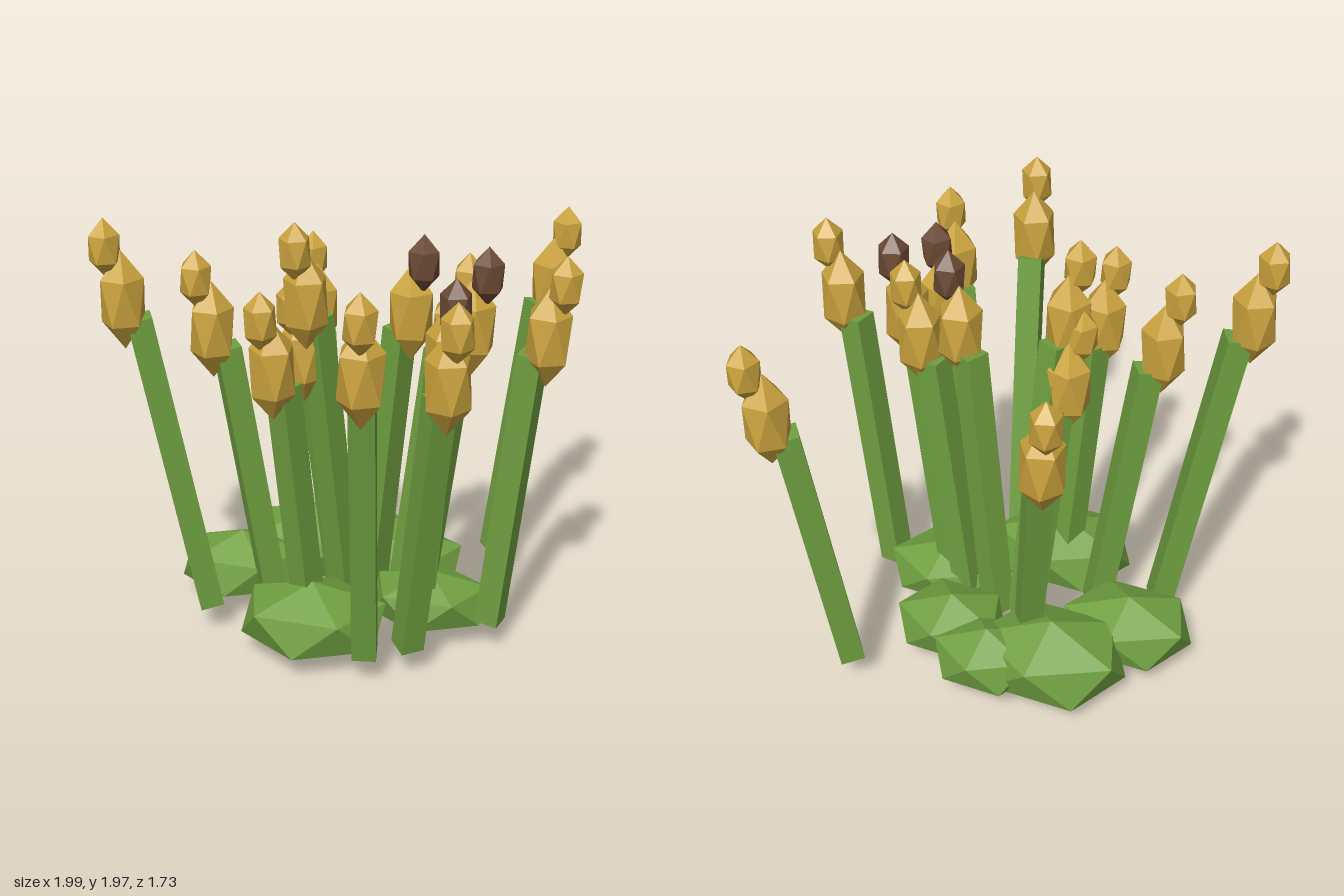
import * as THREE from 'three';

const leafGreen = new THREE.MeshStandardMaterial({ color: 0x6f9f40 });
const seedGold = new THREE.MeshStandardMaterial({ color: 0xcca43e });
const tipBrown = new THREE.MeshStandardMaterial({ color: 0x6b4a35 });

// Icosahedron standing on a vertex, shared by mounds and seed heads
const gem = new THREE.IcosahedronGeometry(1, 0);
gem.rotateZ(Math.atan2(2, 1 + Math.sqrt(5)));
gem.rotateY(Math.PI);

function addGem(parent, name, material, position, scale, yaw = 0) {
  const geometry = gem.clone().rotateY(yaw).scale(...scale);
  const mesh = new THREE.Mesh(geometry, material);
  mesh.name = name;
  mesh.position.set(...position);
  parent.add(mesh);
}

// Leafy mounds: centre x, y, z, then half width, half height, half depth
const mounds = [
  [-0.067, 0.21, 0.227, 0.315, 0.18, 0.228],
  [-0.478, 0.207, -0.22, 0.283, 0.167, 0.206],
  [-0.195, 0.207, -0.49, 0.325, 0.197, 0.242],
  [0.075, 0.205, -0.56, 0.225, 0.15, 0.182],
  [0.285, 0.205, -0.39, 0.24, 0.15, 0.19],
  [0.415, 0.2, -0.037, 0.262, 0.147, 0.193],
];

// Stalks: foot x, z, then seed head centre x, y, z, and whether the tip is brown
const stalks = [
  [-0.565, 0.07, -0.857, 1.625, 0.187],
  [-0.29, -0.03, -0.51, 1.48, 0.087],
  [-0.01, -0.22, -0.15, 1.33, -0.06],
  [0.01, -0.19, -0.125, 1.6, 0.015],
  [-0.09, 0.16, -0.205, 1.41, 0.335],
  [-0.06, -0.38, -0.19, 1.34, -0.63],
  [0.185, 0.38, 0.213, 1.57, 0.725],
  [0.36, 0.29, 0.52, 1.48, 0.53],
  [0.67, -0.66, 0.87, 1.47, -0.78],
  [0.695, 0.02, 0.88, 1.525, 0.08],
  [0.13, -0.2, 0.305, 1.54, -0.085, true],
  [0.28, -0.14, 0.485, 1.47, -0.075],
  [0.36, -0.08, 0.57, 1.53, 0.015, true],
  [0.37, 0.01, 0.49, 1.47, 0.225, true],
];

function createStalk([footX, footZ, x, y, z, brownTip], index) {
  const stalk = new THREE.Group();
  stalk.name = 'stalk' + (index + 1);

  // Square stem, turned to face the way it leans
  const footY = 0.15, stemTop = y - 0.08;
  const yaw = Math.atan2(x - footX, z - footZ);
  const outX = Math.sin(yaw), outZ = Math.cos(yaw);
  const reach = Math.hypot(x - footX, z - footZ) - 0.06;
  const rise = stemTop - footY;
  const length = Math.hypot(reach, rise);
  const stem = new THREE.Mesh(
    new THREE.BoxGeometry(0.105, length, 0.105).translate(0, length / 2, 0), leafGreen);
  stem.name = 'stem';
  stem.position.set(footX, footY, footZ);
  stem.rotation.order = 'YXZ';
  stem.rotation.set(Math.atan2(reach, rise), yaw, 0);
  stalk.add(stem);

  // Seed head with a smaller tip that keeps leaning outward
  addGem(stalk, 'seedHead', seedGold, [x, y, z], [0.105, 0.215, 0.105], yaw);
  addGem(stalk, 'headTip', brownTip ? tipBrown : seedGold,
    [x + outX * 0.062, y + 0.227, z + outZ * 0.062], [0.074, 0.125, 0.074], yaw);
  return stalk;
}

export function createModel() {
  const model = new THREE.Group();
  model.name = 'reedClump';
  mounds.forEach(([x, y, z, w, h, d], i) =>
    addGem(model, 'mound' + (i + 1), leafGreen, [x, y, z], [w / 0.88, h, d / 0.87], 0.15));
  stalks.forEach((data, i) => model.add(createStalk(data, i)));
  return model;
}
